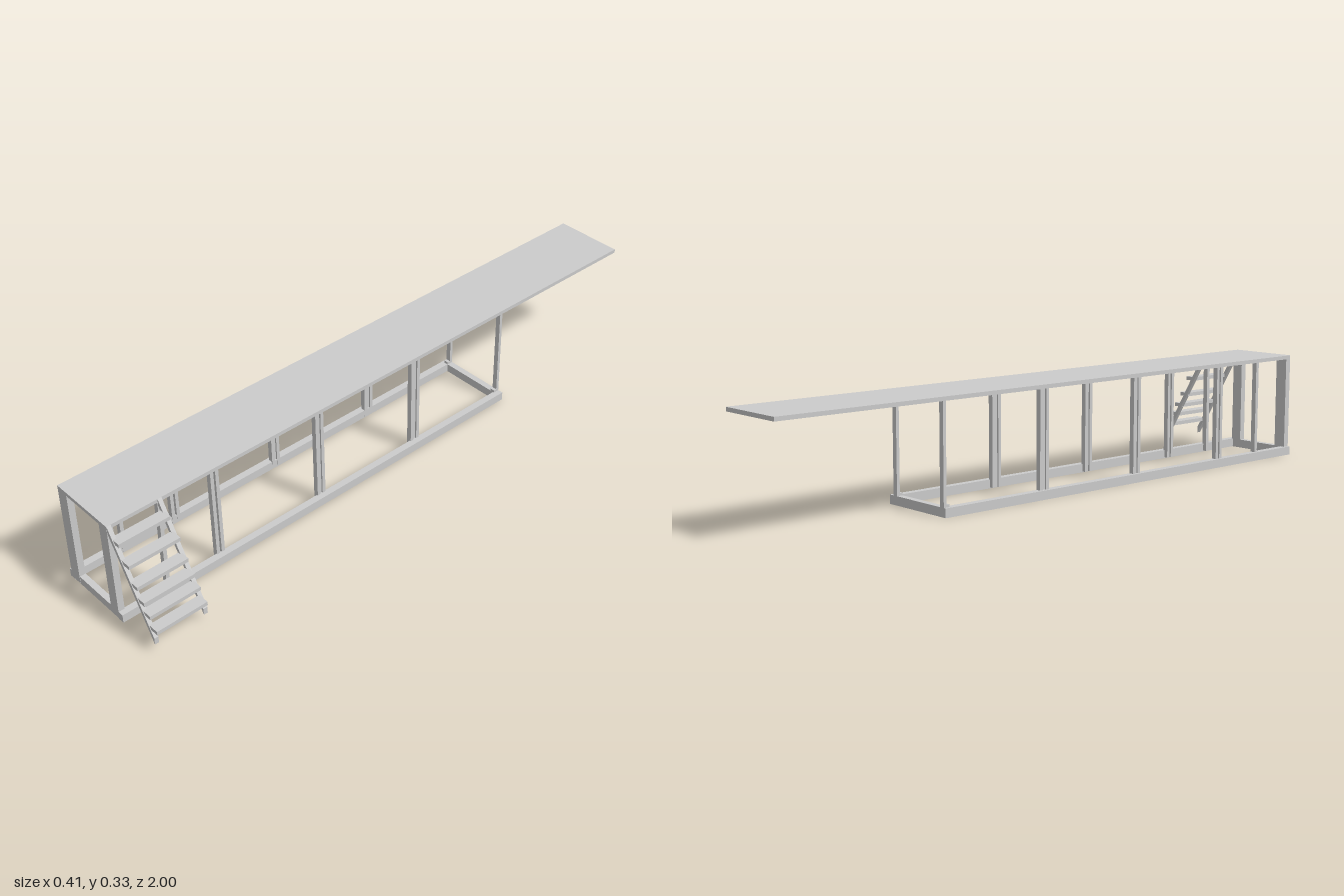
import * as THREE from 'three';

export function createModel() {
  const model = new THREE.Group();
  const mat = new THREE.MeshStandardMaterial({ color: 0xcccccc, flatShading: true });

  // Box given by its two extents on each axis
  const box = (name, x0, x1, y0, y1, z0, z1, parent = model) => {
    const m = new THREE.Mesh(new THREE.BoxGeometry(x1 - x0, y1 - y0, z1 - z0), mat);
    m.position.set((x0 + x1) / 2, (y0 + y1) / 2, (z0 + z1) / 2);
    m.name = name;
    parent.add(m);
    return m;
  };

  // Long deck, overhanging the frame at the back
  const under = 0.32;
  box('deck', -0.198, 0.028, under, 0.332, -1, 1);

  // Base frame lying on the ground
  const base = new THREE.Group();
  base.name = 'baseFrame';
  model.add(base);
  box('baseBeamRight', -0.206, -0.183, 0, 0.027, -0.47, 1, base);
  box('baseBeamLeft', 0.024, 0.046, 0, 0.027, -0.47, 1, base);
  box('baseBeamFront', -0.183, 0.024, 0, 0.027, 0.98, 0.999, base);
  box('baseBeamBack', -0.183, 0.024, 0, 0.027, -0.47, -0.45, base);

  // Wide flat legs at the front
  box('frontLegRight', -0.198, -0.158, 0.003, under, 0.98, 1);
  box('frontLegLeft', -0.008, 0.028, 0.003, under, 0.98, 1);

  // Posts along both sides
  for (const [side, x0, x1] of [['Right', -0.198, -0.182], ['Left', 0.012, 0.028]]) {
    box('backPost' + side, x0, x1, 0.003, under, -0.47, -0.46);
    box('backCorner' + side, x0, x1, 0.003, 0.035, -0.47, -0.45);
    box('thinPost' + side, x0, x1, 0.003, under, 0.828, 0.84);

    // Double posts: two flanges, joined by a web except at the front pair
    for (const [zc, half, web] of [[-0.1, 0.017, true], [0.278, 0.015, true], [0.652, 0.014, false]]) {
      const post = new THREE.Group();
      post.name = 'doublePost' + side;
      model.add(post);
      box('flange', x0, x1, 0.003, under, zc - half, zc - half + 0.011, post);
      box('flange', x0, x1, 0.003, under, zc + half - 0.011, zc + half, post);
      const xm = (x0 + x1) / 2;
      if (web) box('web', xm - 0.003, xm + 0.003, 0.003, under, zc - half + 0.011, zc + half - 0.011, post);
    }
  }

  // Stair on the left side: two slanted stringers with plumb-cut ends
  const stair = new THREE.Group();
  stair.name = 'stair';
  model.add(stair);
  const outline = new THREE.Shape([
    new THREE.Vector2(0.028, 0.332), new THREE.Vector2(0.028, 0.308),
    new THREE.Vector2(0.192, 0.027), new THREE.Vector2(0.192, 0.048),
  ]);
  for (const z of [0.825, 0.986]) {
    const stringer = new THREE.Mesh(
      new THREE.ExtrudeGeometry(outline, { depth: 0.013, bevelEnabled: false }), mat);
    stringer.position.z = z;
    stringer.name = 'stringer';
    stair.add(stringer);
  }

  // Treads: front edge and centre height
  const treads = [[0.072, 0.292], [0.109, 0.241], [0.136, 0.185], [0.16, 0.146], [0.181, 0.113], [0.206, 0.076]];
  for (const [x, y] of treads) {
    box('tread', x - 0.036, x, y - 0.006, y + 0.006, 0.832, 0.997, stair);
  }
  return model;
}
